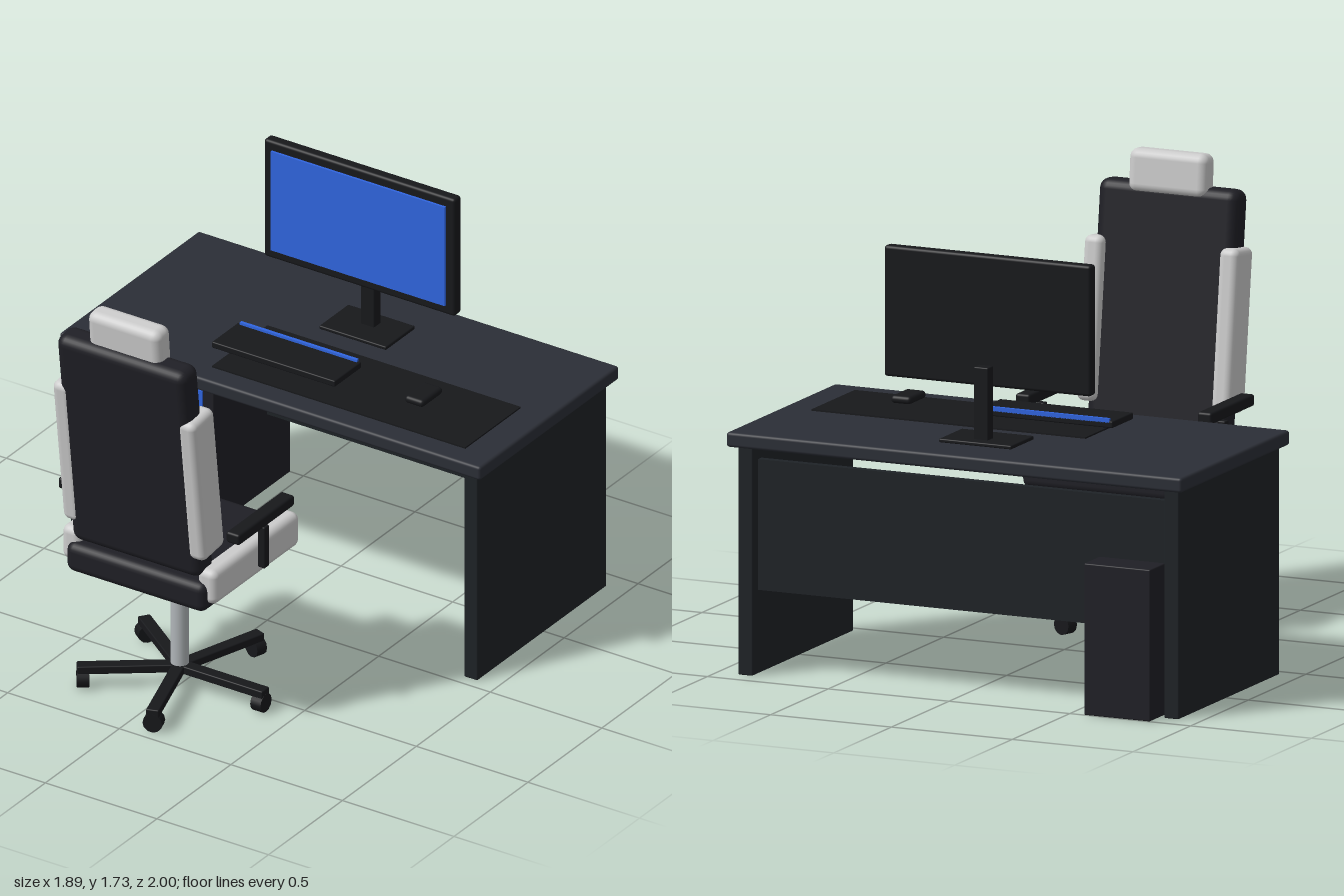
import * as THREE from 'three';
import { RoundedBoxGeometry } from 'three/addons/geometries/RoundedBoxGeometry.js';

const mat = (color) => new THREE.MeshStandardMaterial({ color });

export function createModel() {
  const model = new THREE.Group();
  const top = mat(0x2b2e36), panel = mat(0x1e2226), black = mat(0x17181b);
  const fabric = mat(0x1f1f25), pale = mat(0xcccccc), blue = mat(0x3065df), metal = mat(0xb0b5b8);

  const group = (name, parent = model) => {
    const g = new THREE.Group();
    g.name = name;
    parent.add(g);
    return g;
  };
  // Box given by its min and max on each axis; r rounds the edges
  const box = (parent, name, material, [x0, x1], [y0, y1], [z0, z1], r = 0) => {
    const size = [x1 - x0, y1 - y0, z1 - z0];
    const geo = r ? new RoundedBoxGeometry(...size, 3, r) : new THREE.BoxGeometry(...size);
    const mesh = new THREE.Mesh(geo, material);
    mesh.name = name;
    mesh.position.set((x0 + x1) / 2, (y0 + y1) / 2, (z0 + z1) / 2);
    parent.add(mesh);
    return mesh;
  };

  // Desk
  const desk = group('desk');
  box(desk, 'deskTop', top, [-0.943, 0.943], [0.875, 0.932], [-0.96, -0.017], 0.012);
  for (const s of [-1, 1])
    box(desk, 'sidePanel', panel, [s * 0.882 - 0.03, s * 0.882 + 0.03], [0, 0.875], [-0.92, -0.045], 0.005);
  box(desk, 'modestyPanel', panel, [-0.855, 0.855], [0.32, 0.82], [-0.87, -0.84]);
  box(desk, 'deskMat', black, [-0.32, 0.815], [0.931, 0.938], [-0.485, -0.11]);

  // Computer tower, passing through the modesty panel
  const tower = group('tower');
  box(tower, 'towerCase', fabric, [-0.832, -0.558], [0, 0.58], [-1, -0.48], 0.005);
  box(tower, 'towerFrontPanel', blue, [-0.785, -0.605], [0.19, 0.572], [-0.485, -0.474]);

  // Monitor
  const monitor = group('monitor');
  box(monitor, 'monitorBase', black, [-0.15, 0.15], [0.931, 0.946], [-0.775, -0.577], 0.005);
  box(monitor, 'monitorNeck', black, [-0.03, 0.03], [0.94, 1.222], [-0.725, -0.678], 0.005);
  box(monitor, 'monitorBody', black, [-0.428, 0.428], [1.138, 1.638], [-0.67, -0.622], 0.012);
  box(monitor, 'screen', blue, [-0.39, 0.39], [1.178, 1.6], [-0.63, -0.612]);

  // Keyboard and mouse
  const keyboard = group('keyboard');
  box(keyboard, 'keyboardBody', black, [-0.38, 0.172], [0.956, 0.982], [-0.378, -0.198], 0.005);
  box(keyboard, 'keyboardLightStrip', blue, [-0.365, 0.16], [0.975, 0.992], [-0.378, -0.365]);
  box(model, 'mouse', black, [0.46, 0.545], [0.964, 0.994], [-0.37, -0.23], 0.014);

  // Seat, side bolsters and armrests
  const chair = group('chair');
  box(chair, 'seatCushion', fabric, [-0.313, 0.313], [0.532, 0.655], [0.272, 0.902], 0.035);
  for (const s of [-1, 1]) {
    const span = (c, w) => [s * c - w / 2, s * c + w / 2];
    box(chair, 'seatBolster', pale, span(0.304, 0.085), [0.565, 0.708], [0.293, 0.875], 0.03);
    box(chair, 'armrestPost', black, span(0.375, 0.032), [0.62, 0.795], [0.575, 0.607], 0.005);
    box(chair, 'armrestPad', black, span(0.376, 0.06), [0.812, 0.857], [0.425, 0.803], 0.01);
  }

  // Reclined backrest with bolsters and headrest, built upright then tilted
  const back = group('backrest', chair);
  back.position.set(0, 1.135, 0.893);
  back.rotation.x = 0.122;
  box(back, 'backCushion', fabric, [-0.29, 0.29], [-0.465, 0.465], [-0.058, 0.058], 0.04);
  for (const s of [-1, 1])
    box(back, 'backBolster', pale, [s * 0.28 - 0.04, s * 0.28 + 0.04], [-0.375, 0.25], [-0.092, 0.06], 0.028);
  const headrest = box(chair, 'headrest', pale, [-0.163, 0.163], [1.557, 1.725], [0.882, 0.978], 0.035);
  headrest.rotation.x = 0.09;

  // Gas column
  const column = new THREE.Mesh(new THREE.CylinderGeometry(0.035, 0.035, 0.47, 20), metal);
  column.name = 'column';
  column.position.set(0, 0.305, 0.59);
  chair.add(column);

  // Five-spoke base, each spoke with a caster rolling around it
  const base = group('chairBase', chair);
  base.position.set(0, 0, 0.59);
  for (let i = 0; i < 5; i++) {
    const leg = group('baseLeg', base);
    leg.rotation.y = (i * Math.PI * 2) / 5;
    box(leg, 'spoke', black, [0, 0.385], [0.063, 0.096], [-0.025, 0.025], 0.005);
    const caster = new THREE.Mesh(new THREE.CylinderGeometry(0.038, 0.038, 0.046, 12), black);
    caster.name = 'caster';
    caster.rotation.z = Math.PI / 2;
    caster.position.set(0.363, 0.038, 0);
    leg.add(caster);
  }
  return model;
}
